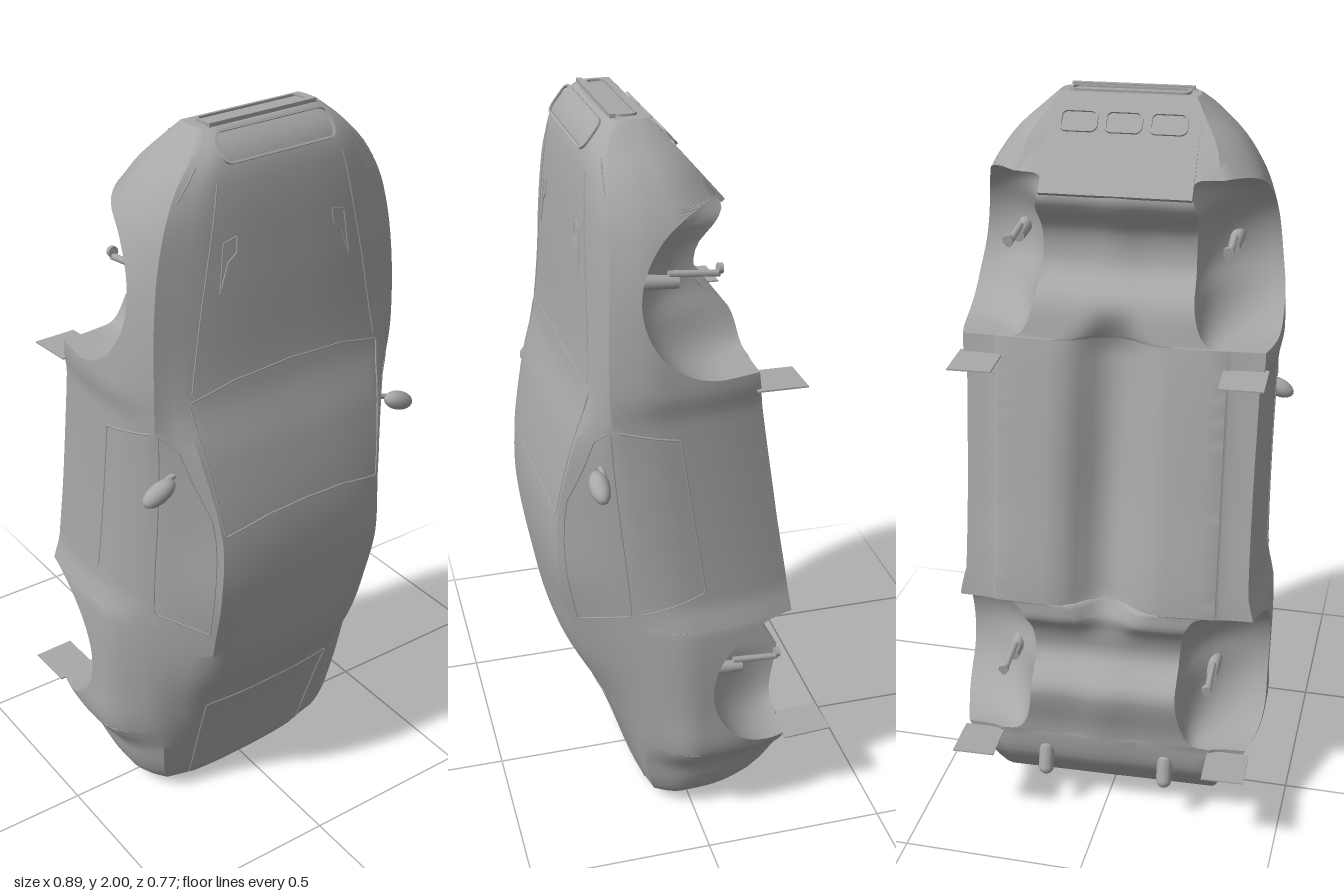
import * as THREE from 'three';
import { toCreasedNormals } from 'three/addons/utils/BufferGeometryUtils.js';

// Smooth curve through [y, value] keys
function curve(keys) {
  const slope = i => {
    const a = keys[Math.max(i - 1, 0)], b = keys[Math.min(i + 1, keys.length - 1)];
    return (b[1] - a[1]) / (b[0] - a[0]);
  };
  return y => {
    let i = 0;
    while (i < keys.length - 2 && y > keys[i + 1][0]) i++;
    const [y0, a] = keys[i], [y1, b] = keys[i + 1], d = y1 - y0;
    const t = THREE.MathUtils.clamp((y - y0) / d, 0, 1), t2 = t * t, t3 = t2 * t;
    return a * (2 * t3 - 3 * t2 + 1) + b * (3 * t2 - 2 * t3)
      + slope(i) * d * (t3 - 2 * t2 + t) + slope(i + 1) * d * (t3 - t2);
  };
}

// Body lines along the car, tail at y = 0 and nose at y = 2
const topZ = curve([[0, .10], [.02, .125], [.06, .14], [.2, .185], [.36, .245], [.52, .325], [.68, .36], [.85, .38],
  [1, .377], [1.2, .342], [1.36, .30], [1.66, .278], [1.87, .257], [1.95, .23], [2, .175]]);
const crown = curve([[0, .008], [.3, .015], [.5, .034], [.65, .028], [.8, .016], [1, .016], [1.36, .02], [2, .007]]);
const roofW = curve([[0, .17], [.1, .21], [.5, .25], [.8, .262], [1, .26], [1.36, .31], [1.6, .27], [1.87, .215], [2, .15]]);
const beltW = curve([[0, .19], [.04, .27], [.2, .31], [.4, .345], [.7, .37], [1.2, .372], [1.38, .38], [1.6, .37], [1.76, .34],
  [1.87, .29], [1.95, .22], [2, .165]]);
const beltZ = curve([[0, .085], [.05, .115], [.2, .15], [.5, .175], [.8, .19], [1.2, .235], [1.4, .25], [1.76, .235],
  [1.87, .22], [1.95, .2], [2, .16]]);
const maxW = curve([[0, .2], [.04, .305], [.1, .345], [.18, .37], [.26, .425], [.4, .43], [.66, .43], [.76, .41],
  [1.3, .408], [1.38, .42], [1.6, .408], [1.7, .39], [1.8, .355], [1.89, .295], [1.95, .228], [2, .17]]);
const sillZ = curve([[0, -.05], [.03, -.09], [.06, -.14], [.1, -.172], [.17, -.215], [.26, -.23], [.42, -.245], [.68, -.235],
  [1, -.185], [1.4, -.125], [1.7, -.1], [1.76, -.085], [1.86, -.02], [1.94, .045], [2, .1]]);
const floorZ = curve([[0, -.05], [.03, -.09], [.06, -.14], [.1, -.175], [.17, -.228], [.3, -.25], [.4, -.275], [.44, -.27],
  [.5, -.2], [.58, -.21], [.64, -.247], [1, -.195], [1.4, -.13], [1.51, -.1], [1.56, -.03], [1.66, -.02], [1.73, -.07],
  [1.77, -.085], [1.86, -.02], [1.94, .045], [2, .1]]);
const tunnel = curve([[0, 0], [.55, 0], [.7, 1], [1.35, 1], [1.5, 0], [2, 0]]);
const tuck = curve([[0, .03], [1.7, .03], [1.81, .08], [1.9, .05], [1.96, .02], [2, 0]]);
const arches = [{ y: .47, z: -.22, r: .21 }, { y: 1.61, z: -.035, r: .208 }];

// Height of the hood, roof and glass at x
function topAt(x, y) {
  const wr = roofW(y), zr = topZ(y) - crown(y);
  if (x <= wr) return topZ(y) - crown(y) * Math.pow(x / wr, 2.5);
  return THREE.MathUtils.lerp(zr, beltZ(y), (x - wr) / (beltW(y) - wr));
}

// Half width of the body side at z
function sideAt(y, z) {
  const s = (beltZ(y) - z) / (beltZ(y) - sillZ(y)), wb = beltW(y);
  return wb + (maxW(y) - wb) * Math.sin(Math.min(s / .35, 1) * Math.PI / 2)
    - tuck(y) * Math.pow(Math.max(0, (s - .5) / .5), 2);
}

// Closed cross-section, including wheel wells and floor
function section(y) {
  const half = [], wr = roofW(y), wb = beltW(y), zb = beltZ(y), zf = floorZ(y);
  let zl = sillZ(y), xi = Math.min(.3, maxW(y) - .06 - tuck(y) / 2);
  for (const a of arches) {
    if (Math.abs(y - a.y) >= a.r) continue;
    const h = Math.sqrt(a.r * a.r - (y - a.y) ** 2);
    zl = Math.max(zl, a.z + h);
    xi -= .1 * Math.sqrt(h / a.r);
  }
  for (let i = 0; i <= 8; i++) half.push([wr * i / 8, topAt(wr * i / 8, y)]);
  for (const f of [.33, .67]) half.push([wr + (wb - wr) * f, topAt(wr + (wb - wr) * f, y)]);
  for (let i = 0; i <= 12; i++) {
    const z = THREE.MathUtils.lerp(zb, zl, i / 12);
    half.push([sideAt(y, z), z]);
  }
  const rim = half[half.length - 1][0];
  for (let i = 1; i <= 9; i++) {
    const a = i / 9 * Math.PI / 2;
    half.push([rim - (rim - xi) * Math.sin(a), zl + (zf - zl) * (1 - Math.cos(a))]);
  }
  [[.85, -.002], [.55, -.007], [.4, -.003], [.28, .018], [.18, .045], [.08, .06], [0, .063]].forEach(([f, dz]) =>
    half.push([xi * f, zf + dz * tunnel(y)]));
  return [...half, ...half.slice(1, -1).reverse().map(([x, z]) => [-x, z])];
}

function bodyGeometry() {
  const ys = [];
  for (let y = 0; y < 1.985; y += .02) if (!arches.some(a => Math.abs(y - a.y) < a.r + .001)) ys.push(y);
  ys.push(.005, .01, 1.99);
  for (const a of arches) {
    ys.push(a.y - a.r - 1e-4, a.y + a.r + 1e-4);
    for (let k = 0; k <= 28; k++) ys.push(a.y - (a.r - 1e-5) * Math.cos(k / 28 * Math.PI));
  }
  ys.sort((a, b) => a - b);
  const pos = [], index = [];
  let n = 0;
  ys.forEach(y => {
    const ring = section(y);
    n = ring.length;
    ring.forEach(([x, z]) => pos.push(x, y, z));
  });
  const rows = ys.length, last = (rows - 1) * n, centre = rows * n;
  for (let i = 0; i < rows - 1; i++) for (let j = 0; j < n; j++) {
    const a = i * n + j, b = i * n + (j + 1) % n;
    index.push(a, b, b + n, a, b + n, a + n);
  }
  // Tail and nose caps
  pos.push(0, ys[0], .03, 0, ys[rows - 1], .135);
  for (let j = 0; j < n; j++) {
    const k = (j + 1) % n;
    index.push(centre, k, j, centre + 1, last + j, last + k);
  }
  const g = new THREE.BufferGeometry();
  g.setAttribute('position', new THREE.Float32BufferAttribute(pos, 3));
  g.setIndex(index);
  return toCreasedNormals(g, .6);
}

function roundedRect(Type, w, h, r) {
  const s = new Type(), x = w / 2, y = h / 2, q = Math.PI / 2;
  s.absarc(x - r, y - r, r, 0, q);
  s.absarc(-x + r, y - r, r, q, 2 * q);
  s.absarc(-x + r, -y + r, r, 2 * q, 3 * q);
  s.absarc(x - r, -y + r, r, 3 * q, 4 * q);
  s.closePath();
  return s;
}

export function createModel() {
  const model = new THREE.Group();
  model.name = 'carShell';
  const grey = new THREE.MeshStandardMaterial({ color: 0xa8a8a8, side: THREE.DoubleSide });
  grey.name = 'grey';
  const add = (name, geometry, x = 0, y = 0, z = 0, rx = 0, rz = 0) => {
    const m = new THREE.Mesh(geometry, grey);
    m.name = name;
    m.position.set(x, y, z);
    m.rotation.set(rx, 0, rz);
    model.add(m);
    return m;
  };
  add('body', bodyGeometry());

  // Thin trim lines laid on the surface
  const line = (name, points) => {
    const path = new THREE.CurvePath();
    for (let i = 1; i < points.length; i++) path.add(new THREE.LineCurve3(points[i - 1], points[i]));
    add(name, new THREE.TubeGeometry(path, points.length * 3, .0025, 5));
  };
  const dense = (keys, place) => {
    const out = [];
    for (let i = 1; i < keys.length; i++) for (let k = i > 1 ? 1 : 0; k <= 6; k++) {
      out.push(place(...keys[i].map((v, c) => THREE.MathUtils.lerp(keys[i - 1][c], v, k / 6))));
    }
    return out;
  };
  // Frame round an opening
  const frame = (name, w, h, x, y, z, rx) => {
    const s = roundedRect(THREE.Shape, w, h, h * .3);
    s.holes.push(roundedRect(THREE.Path, w - .012, h - .012, h * .22));
    add(name, new THREE.ExtrudeGeometry(s, { depth: .006, bevelEnabled: false, curveSegments: 5 }), x, y, z, rx);
  };

  for (const s of [1, -1]) {
    const onTop = (x, y) => new THREE.Vector3(s * x, y, topAt(x, y));
    const onGlass = (f, y) => onTop(THREE.MathUtils.lerp(roofW(y), beltW(y), f), y);
    const onSide = (y, z) => new THREE.Vector3(s * sideAt(y, z), y, z);
    line('windscreenEdge', dense([[0, 1.4], [.17, 1.39], [.3, 1.36], [.25, 1], [.12, 1.025], [0, 1.03]], onTop));
    line('hoodEdge', dense([[.29, 1.38], [.25, 1.6], [.19, 1.88]], onTop));
    line('trunkEdge', dense([[.2, .03], [.215, .36], [0, .365]], onTop));
    line('sideWindowEdge', dense([[.1, .68], [.1, 1.05], [.45, 1.24], [.92, 1.28], [.92, .72], [.1, .68]], onGlass));
    line('doorEdge', dense([[1.28, .23], [1.25, .08], [.79, .01], [.73, .17]], onSide));
    line('hoodVent', dense([[.2, 1.62], [.185, 1.74], [.145, 1.75], [.15, 1.71], [.175, 1.69], [.2, 1.62]], onTop));
    line('headlightEdge', dense([[.29, 1.85], [.23, 1.92]], onTop));

    // Door mirror on its stalk
    const mirror = add('mirror', new THREE.SphereGeometry(1, 16, 10), s * .395, 1.145, .283, 0, -s * .4);
    mirror.scale.set(.05, .026, .026);
    add('mirrorStalk', new THREE.CylinderGeometry(.007, .009, .06, 8), s * .36, 1.16, .265, 0, Math.PI / 2 - s * .3);

    // Mud flaps behind each wheel
    add('frontMudFlap', new THREE.BoxGeometry(.115, .004, .132), s * .348, 1.35, -.185, -.03);
    add('rearMudFlap', new THREE.BoxGeometry(.115, .004, .135), s * .348, .25, -.3, .03);

    // Suspension struts in the wells
    for (const [y, z] of [[1.62, .15], [.44, -.04]]) {
      const q = Math.PI / 2 - .1;
      add('strutBody', new THREE.CylinderGeometry(.02, .016, .1, 12), s * .285, y, z - .05, q);
      add('strutRod', new THREE.CylinderGeometry(.009, .009, .13, 8), s * .285, y + .012, z - .14, q);
      add('strutEnd', new THREE.CylinderGeometry(.014, .014, .012, 10), s * .285, y + .018, z - .205, q);
    }

    // Fog lights and exhaust pipes
    add('fogLight', new THREE.SphereGeometry(.02, 12, 8), s * .255, 1.87, .11);
    add('exhaustPipe', new THREE.CapsuleGeometry(.022, .06, 4, 12), s * .17, .17, -.235, .3);
  }

  // Nose openings and the sloping plate under them
  frame('hoodOpening', .34, .085, 0, 1.953, .224, -.67);
  frame('noseSlot', .31, .055, 0, 1.99, .135, -Math.PI / 2);
  add('valancePlate', new THREE.BoxGeometry(.39, .25, .012), 0, 1.868, -.01, -2.43);
  for (const x of [-.115, 0, .115]) frame('intakeSlot', .098, .062, x, 1.931, .034, -2.43);
  add('noseLip', new THREE.BoxGeometry(.32, .014, .014), 0, 1.993, .172);

  // Slight lean of the whole car
  model.rotation.y = .037;
  const root = new THREE.Group();
  root.name = 'car';
  root.add(model);
  return root;
}
